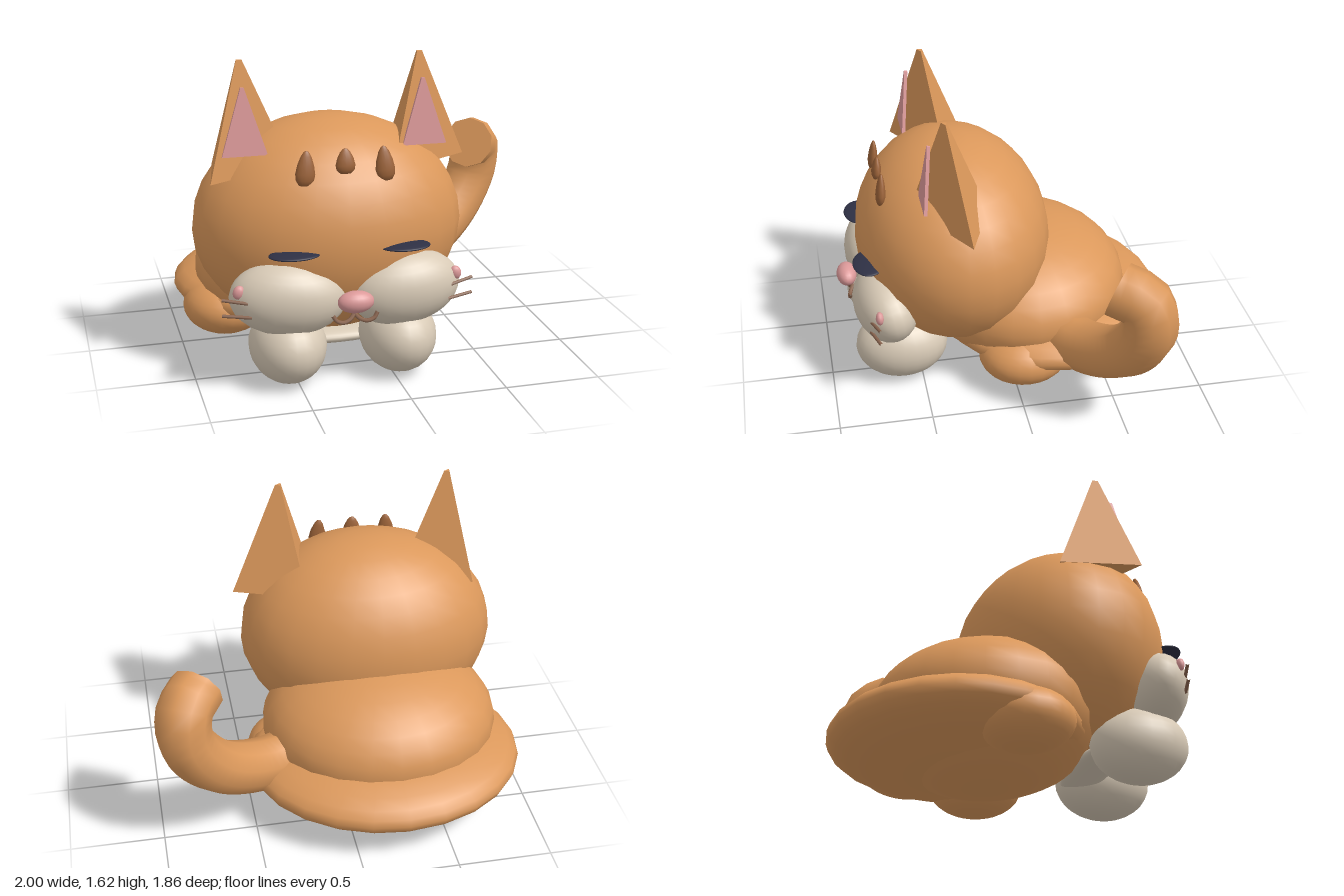
import * as THREE from 'three';
import { ConvexGeometry } from 'three/addons/geometries/ConvexGeometry.js';

const material = (name, color) => {
  const m = new THREE.MeshStandardMaterial({ color });
  m.name = name;
  return m;
};

export function createModel() {
  const orange = material('orange fur', 0xdb985b);
  const cream = material('cream fur', 0xd8cab6);
  const pink = material('pink', 0xdc9999);
  const navy = material('dark navy', 0x2e3044);
  const brown = material('brown marking', 0x9c6339);
  const whiskerBrown = material('whisker brown', 0x8c6650);

  const root = new THREE.Group();
  root.name = 'sleepingCat';
  // The cat sits off centre so the tail fits on its left side
  const cat = new THREE.Group();
  cat.name = 'cat';
  cat.position.x = -0.25;
  root.add(cat);

  const add = (name, geometry, mat, pos = [0, 0, 0], rot = [0, 0, 0]) => {
    const mesh = new THREE.Mesh(geometry, mat);
    mesh.name = name;
    mesh.position.set(...pos);
    mesh.rotation.set(...rot);
    cat.add(mesh);
    return mesh;
  };
  const ellipsoid = (name, mat, pos, radii, rot, seg = 24) =>
    add(name, new THREE.SphereGeometry(1, seg, Math.round(seg * 0.67)).scale(...radii), mat, pos, rot);
  const tube = (name, mat, points, radius, steps, sides) =>
    add(name, new THREE.TubeGeometry(
      new THREE.CatmullRomCurve3(points.map(p => new THREE.Vector3(...p))), steps, radius, sides), mat);

  // Main masses
  ellipsoid('head', orange, [0, 0.735, 0.27], [0.71, 0.57, 0.54]);
  ellipsoid('body', orange, [0, 0.38, -0.12], [0.65, 0.375, 0.6]);
  ellipsoid('haunches', orange, [0, 0.245, -0.27], [0.75, 0.19, 0.66]);
  ellipsoid('chest', cream, [0, 0.17, 0.44], [0.35, 0.045, 0.12]);

  // Tail with a flat cut end
  const tailPath = [
    [0.4, 0.3, -0.2], [0.7, 0.32, -0.36], [0.96, 0.47, -0.51],
    [1.1, 0.69, -0.575], [1.1, 0.85, -0.545], [1.02, 0.9, -0.42],
  ];
  const tail = tube('tail', orange, tailPath, 0.145, 24, 10);
  const endDirection = tail.geometry.parameters.path.getTangent(1);
  const cap = add('tailEnd', new THREE.CircleGeometry(0.145, 10), orange, tailPath[5]);
  // Align the cap with the last ring of the tube
  const lastRing = tail.geometry.attributes.position;
  const rim = new THREE.Vector3().fromBufferAttribute(lastRing, lastRing.count - 1)
    .sub(new THREE.Vector3(...tailPath[5])).normalize();
  cap.quaternion.setFromRotationMatrix(new THREE.Matrix4().makeBasis(
    rim, new THREE.Vector3().crossVectors(endDirection, rim), endDirection));

  // Ears: three-sided pyramids with a tiny blunt tip
  const earBase = [[-0.11, -0.24], [0.28, -0.1], [-0.18, 0.17]];
  const earPoints = earBase.flatMap(([x, z]) => [
    new THREE.Vector3(x, 1.04, z),
    new THREE.Vector3(x * 0.07, 1.62, z * 0.07),
  ]);
  const innerShape = new THREE.Shape([
    new THREE.Vector2(-0.115, 0), new THREE.Vector2(0.115, 0),
    new THREE.Vector2(0.008, 0.34), new THREE.Vector2(-0.008, 0.34),
  ]);
  // Teardrop outline for the forehead markings
  const dropProfile = [[0, -0.5], [0.3, -0.46], [0.46, -0.32], [0.5, -0.15],
    [0.42, 0.1], [0.27, 0.34], [0.12, 0.47], [0, 0.5]].map(p => new THREE.Vector2(...p));
  const marking = (name, x, y, height, tilt) =>
    add(name, new THREE.LatheGeometry(dropProfile, 14).scale(0.1, height, 0.055),
      brown, [x, y, 0.67], [-0.08, 0, tilt]);
  marking('middleMarking', 0, 1.155, 0.13, 0);

  // Paired parts: the model's left is +x
  for (const [side, s] of [['left', 1], ['right', -1]]) {
    add(side + 'Ear', new ConvexGeometry(earPoints), orange, [s * 0.465, 0, 0.36]);
    add(side + 'InnerEar', new THREE.ExtrudeGeometry(innerShape, { depth: 0.018, bevelEnabled: false }),
      pink, [s * 0.463, 1.16, 0.47], [-0.115, 0, 0]);
    ellipsoid(side + 'Cheek', cream, [s * 0.3, 0.48, 0.685], [0.295, 0.195, 0.175], [0.15, s * 0.1, s * 0.06]);
    ellipsoid(side + 'FrontPaw', cream, [s * 0.29, 0.2, 0.605], [0.197, 0.195, 0.255]);
    ellipsoid(side + 'BackPaw', orange, [s * 0.5, 0.19, -0.05], [0.23, 0.155, 0.25]);
    ellipsoid(side + 'Eye', navy, [s * 0.28, 0.727, 0.765], [0.13, 0.015, 0.085]);
    ellipsoid(side + 'Blush', pink, [s * 0.555, 0.55, 0.74], [0.03, 0.036, 0.022], [0, 0, s * 0.3], 12);
    marking(side + 'Marking', s * 0.2, 1.13, 0.18, s * 0.08);
    tube(side + 'Mouth', whiskerBrown, [[0, 0.425, 0.84], [s * 0.025, 0.4, 0.855],
      [s * 0.06, 0.39, 0.865], [s * 0.095, 0.402, 0.865], [s * 0.113, 0.43, 0.86]], 0.011, 12, 6);
    for (const [label, y, rise] of [['Upper', 0.5, 0.02], ['Lower', 0.43, 0.008]]) {
      tube(side + label + 'Whisker', whiskerBrown,
        [[s * 0.5, y, 0.785], [s * 0.64, y + rise, 0.745]], 0.009, 1, 6);
    }
  }

  ellipsoid('nose', pink, [0, 0.497, 0.872], [0.092, 0.056, 0.056], [0, 0, 0], 20);
  return root;
}
